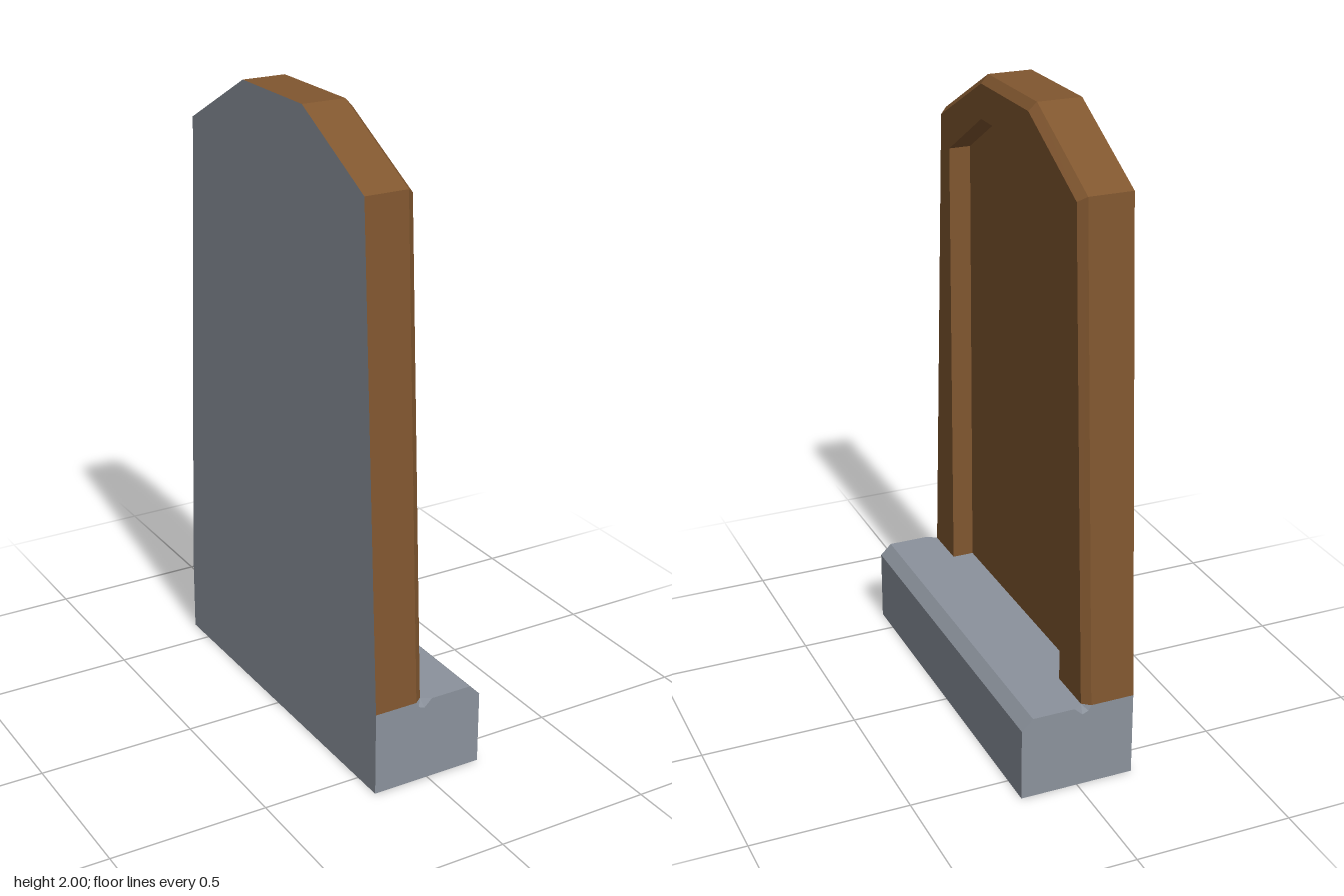
import * as THREE from 'three';

const HALF = 0.183, TOP = 0.27, END = 0.6, INNER_END = 0.58;

// Mirrors a (z, y) half outline and places it at depth x, running from +z over the top to -z
function ring(half, x) {
  const mirrored = [...half].reverse().map(([z, y]) => [-z, y]);
  return [...half, ...mirrored].map(([z, y]) => [x, y, z]);
}

function facets(triangles, material, name) {
  const g = new THREE.BufferGeometry();
  g.setAttribute('position', new THREE.Float32BufferAttribute(triangles.flat(2), 3));
  g.computeVertexNormals();
  const mesh = new THREE.Mesh(g, material);
  mesh.name = name;
  return mesh;
}

// Joins each ring to the next one with quads
function loft(rings) {
  const tris = [];
  for (let k = 0; k < rings.length - 1; k++) {
    const a = rings[k], b = rings[k + 1];
    for (let i = 0; i < a.length - 1; i++) {
      tris.push([a[i], b[i], b[i + 1]], [a[i], b[i + 1], a[i + 1]]);
    }
  }
  return tris;
}

// Fills a ring with a fan facing +x, or -x when flipped
function fill(r, flip) {
  const tris = [];
  for (let i = 1; i < r.length - 1; i++) {
    tris.push(flip ? [r[0], r[i], r[i + 1]] : [r[0], r[i + 1], r[i]]);
  }
  return tris;
}

// Stone plinth: chamfered profile with a small notch cut into both ends
function plinthGeometry() {
  const notch = [[0.012, TOP], [-0.014, 0.245], [-0.034, 0.253], [-0.043, TOP]];
  const profile = [[-HALF, 0], [HALF, 0], [HALF, 0.235], [0.147, TOP], ...notch, [-HALF, TOP]];
  const shape = new THREE.Shape(profile.map(([x, y]) => new THREE.Vector2(x, y)));
  const g = new THREE.ExtrudeGeometry(shape, { depth: 2 * END, steps: 3, bevelEnabled: false });
  g.translate(0, 0, -END);
  const p = g.attributes.position;
  for (let i = 0; i < p.count; i++) {
    const z = p.getZ(i);
    if (Math.abs(z) > 0.5) continue;
    // inner sections sit just inside the ends, where the notch closes to a point
    p.setZ(i, Math.sign(z) * INNER_END);
    if (Math.abs(p.getX(i)) < 0.1) p.setXY(i, -0.018, TOP);
  }
  g.computeVertexNormals();
  return g;
}

export function createModel() {
  const wood = new THREE.MeshStandardMaterial({ color: 0x80562f });
  wood.name = 'brown wood';
  const stone = new THREE.MeshStandardMaterial({ color: 0x8b929c });
  stone.name = 'grey stone';

  const outline = [[0.6, TOP], [0.512, 1.82], [0.175, 2]];
  const face = [[0.58, TOP], [0.493, 1.803], [0.17, 1.975]];
  const recess = [[0.427, TOP], [0.427, 1.71], [0.17, 1.868]];

  const back = ring(outline, -HALF);
  const panel = ring(recess, -0.088);

  const group = new THREE.Group();
  group.name = 'uprightSlab';

  const plinth = new THREE.Mesh(plinthGeometry(), stone);
  plinth.name = 'plinth';

  group.add(
    plinth,
    // outer sides, bevel, front border and recess walls
    facets(loft([back, ring(outline, -0.043), ring(face, -0.018), ring(recess, -0.018), panel]), wood, 'slabFrame'),
    facets(fill(panel, false), wood, 'recessedPanel'),
    facets(fill(back, true), stone, 'slabBack'),
  );
  return group;
}
